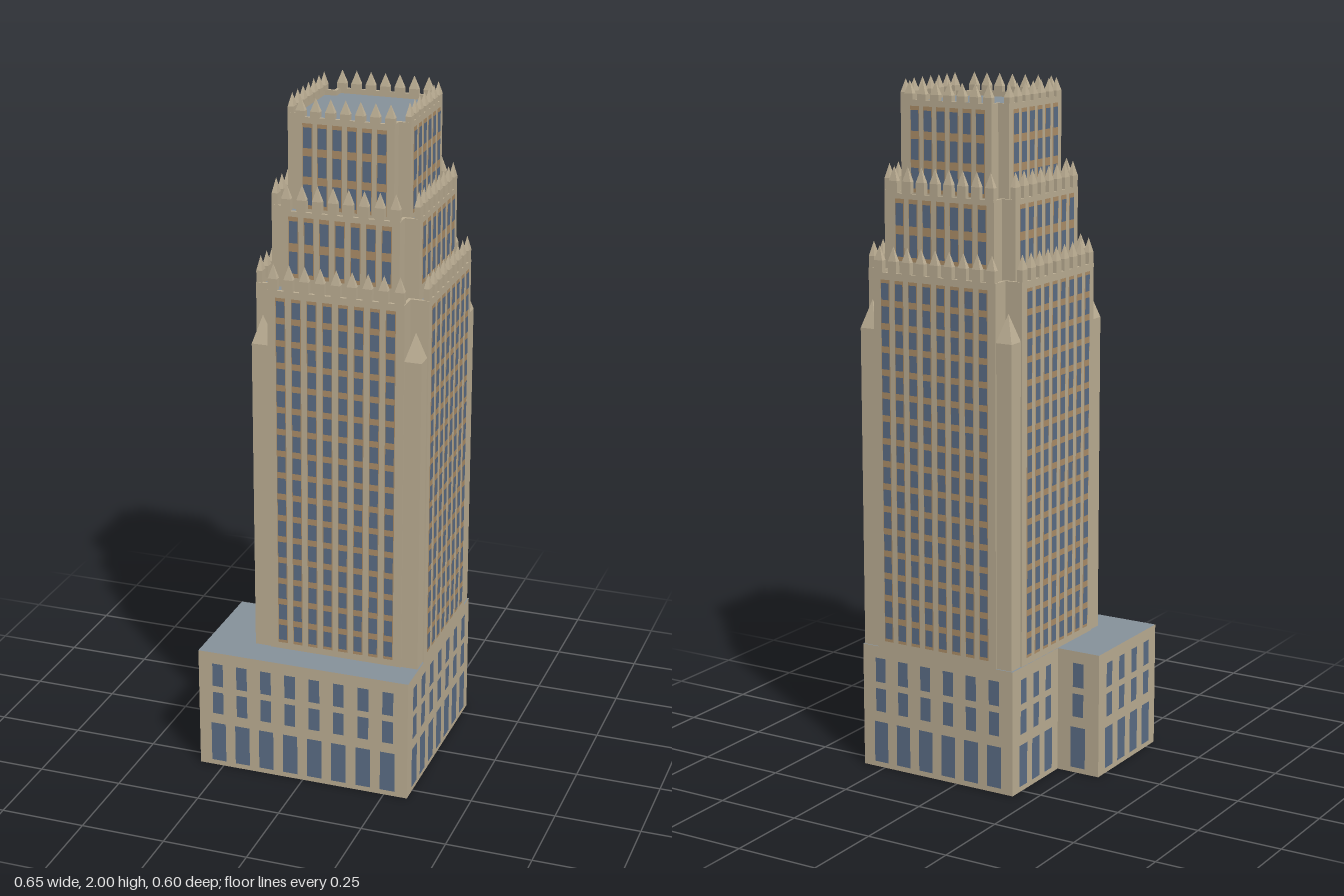
import * as THREE from 'three';
import { mergeGeometries } from 'three/addons/utils/BufferGeometryUtils.js';

const wallMat = new THREE.MeshStandardMaterial({ color: 0xbfb196, side: THREE.DoubleSide });
wallMat.name = 'limestone';
const windowMat = new THREE.MeshStandardMaterial({ color: 0x5d6f88 });
windowMat.name = 'window glass';
const spandrelMat = new THREE.MeshStandardMaterial({ color: 0xb0916a });
spandrelMat.name = 'bronze spandrel';
const roofMat = new THREE.MeshStandardMaterial({ color: 0x88939c, side: THREE.DoubleSide });
roofMat.name = 'slate roof';

const CX = 0.068, CZ = -0.047; // tower axis

function add(group, name, geos, mat) {
  const mesh = new THREE.Mesh(mergeGeometries([].concat(geos)), mat);
  mesh.name = name;
  group.add(mesh);
}

// Upright rectangle on the wall from p to q (x, z), seen left to right from outside.
// u is the distance of its centre from the middle of the wall.
function panel([px, pz], [qx, qz], u, y0, y1, width, out = 0) {
  const a = Math.atan2(pz - qz, qx - px);
  return new THREE.PlaneGeometry(width, y1 - y0)
    .translate(u, (y0 + y1) / 2, out)
    .rotateY(a)
    .translate((px + qx) / 2, 0, (pz + qz) / 2);
}

const toPoints = (outline) => outline.map(([x, z]) => new THREE.Vector2(x, -z));

function flat(outline, y) {
  return new THREE.ShapeGeometry(new THREE.Shape(toPoints(outline))).rotateX(-Math.PI / 2).translate(0, y, 0);
}

// Square plan with square notches cut from the corners
function cross(half, arm) {
  const pts = [];
  let corner = [[-arm, half], [arm, half], [arm, arm]];
  for (let i = 0; i < 4; i++) {
    pts.push(...corner.map(([x, z]) => [x + CX, z + CZ]));
    corner = corner.map(([x, z]) => [z, -x]);
  }
  return pts;
}

// Flat-sided pyramid on a rectangular foot
function pyramid(w, h, d, x, y, z) {
  const g = new THREE.ConeGeometry(Math.SQRT1_2, 1, 4, 1).rotateY(Math.PI / 4)
    .scale(w, h, d).translate(x, y + h / 2, z).toNonIndexed();
  g.computeVertexNormals();
  return g;
}

// Pinnacle: short shaft with a pointed cap
function pinnacle(w, d, shaft, tip, x, y, z) {
  return [
    new THREE.BoxGeometry(w, shaft, d).translate(x, y + shaft / 2, z).toNonIndexed(),
    pyramid(w, tip, d, x, y + shaft, z),
  ];
}

function makeBase() {
  const g = new THREE.Group();
  g.name = 'base';
  const H = 0.37;
  const plan = [[-0.323, 0.3], [0.321, 0.3], [0.321, -0.3], [-0.187, -0.3], [-0.187, -0.045], [-0.323, -0.045]];
  const columns = [8, 7, 6, 3, 1, 4];
  const rows = [[0.016, 0.14, 0.6], [0.172, 0.242, 0.44], [0.262, 0.335, 0.44]];
  const walls = [], windows = [];
  plan.forEach((p, i) => {
    const q = plan[(i + 1) % plan.length];
    const len = Math.hypot(q[0] - p[0], q[1] - p[1]);
    walls.push(panel(p, q, 0, 0, H, len));
    const n = columns[i], pitch = Math.min((len - 0.045) / n, 0.08);
    for (let c = 0; c < n; c++) {
      for (const [y0, y1, w] of rows) {
        windows.push(panel(p, q, (c - (n - 1) / 2) * pitch, y0, y1, w * pitch, 0.0015));
      }
    }
  });
  add(g, 'baseWalls', walls, wallMat);
  add(g, 'baseWindows', windows, windowMat);
  add(g, 'baseRoof', flat(plan, H), roofMat);
  return g;
}

function makeTier(t) {
  const g = new THREE.Group();
  g.name = t.name;
  const { half, arm, y0, top, pitch, cols, rows, rowBottom, rowTop } = t;

  // Hollow walls rise past the roof as a parapet
  const inner = cross(half - 0.009, arm - 0.009);
  const shape = new THREE.Shape(toPoints(cross(half, arm)));
  shape.holes.push(new THREE.Path(toPoints(inner)));
  const walls = new THREE.ExtrudeGeometry(shape, { depth: top - y0, bevelEnabled: false })
    .rotateX(-Math.PI / 2).translate(0, y0, 0);
  add(g, 'walls', walls, wallMat);
  add(g, 'roof', flat(inner, top - 0.015), roofMat);

  const strips = [], windows = [], spikes = [];
  let p = [-arm, half], q = [arm, half];
  const step = (rowTop - rowBottom) / rows;
  for (let side = 0; side < 4; side++) {
    const P = [p[0] + CX, p[1] + CZ], Q = [q[0] + CX, q[1] + CZ];
    for (let c = 0; c < cols; c++) {
      const u = (c - (cols - 1) / 2) * pitch;
      strips.push(panel(P, Q, u, rowBottom, rowTop, 0.029, 0.001));
      for (let r = 0; r < rows; r++) {
        const y = rowBottom + r * step;
        windows.push(panel(P, Q, u, y + step * 0.14, y + step * 0.86, 0.025, 0.002));
      }
    }
    // One pinnacle over each pier
    for (let c = 0; c <= cols; c++) {
      const u = (c - cols / 2) * pitch, v = half - 0.0085;
      for (const s of pinnacle(0.027, 0.017, t.shaft, t.tip, u, top, v)) {
        spikes.push(s.rotateY(side * Math.PI / 2).translate(CX, 0, CZ));
      }
    }
    p = [p[1], -p[0]];
    q = [q[1], -q[0]];
  }
  add(g, 'spandrels', strips, spandrelMat);
  add(g, 'windows', windows, windowMat);
  add(g, 'pinnacles', spikes, wallMat);
  return g;
}

// Corner posts of the main shaft with pyramid caps
function makeCornerPosts() {
  const g = new THREE.Group();
  g.name = 'cornerPosts';
  const parts = [], w = 0.05, y0 = 0.37, y1 = 1.305, c = 0.249 - w / 2;
  for (const sx of [-1, 1]) {
    for (const sz of [-1, 1]) {
      parts.push(...pinnacle(w, w, y1 - y0, 0.08, CX + sx * c, y0, CZ + sz * c));
    }
  }
  add(g, 'cornerPost', parts, wallMat);
  return g;
}

export function createModel() {
  const model = new THREE.Group();
  model.name = 'towerBuilding';
  model.add(makeBase(), makeCornerPosts());
  const tiers = [
    { name: 'lowerTier', half: 0.253, arm: 0.2, y0: 0.37, top: 1.47, pitch: 0.046, cols: 8,
      rows: 16, rowBottom: 0.39, rowTop: 1.45, shaft: 0.033, tip: 0.042 },
    { name: 'middleTier', half: 0.215, arm: 0.172, y0: 1.44, top: 1.69, pitch: 0.045, cols: 7,
      rows: 2, rowBottom: 1.5, rowTop: 1.675, shaft: 0.033, tip: 0.042 },
    { name: 'upperTier', half: 0.177, arm: 0.142, y0: 1.66, top: 1.947, pitch: 0.0427, cols: 6,
      rows: 3, rowBottom: 1.69, rowTop: 1.93, shaft: 0.016, tip: 0.037 },
  ];
  tiers.forEach((t) => model.add(makeTier(t)));
  return model;
}
